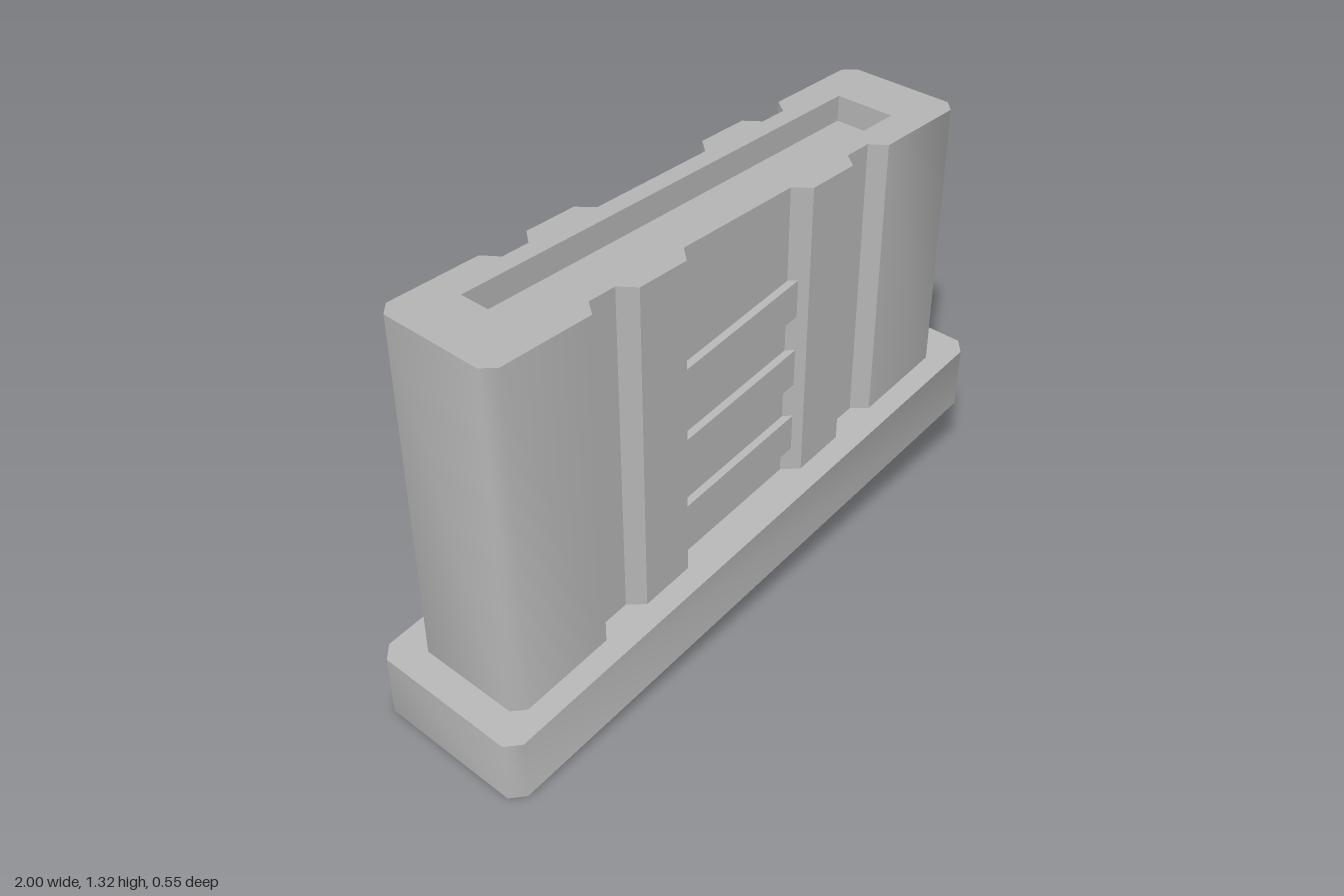
import * as THREE from 'three';
import { toCreasedNormals } from 'three/addons/utils/BufferGeometryUtils.js';

const TOP = 1.32;
// height of the slanted base underside at x
const slope = (x) => 0.135 * (x + 1);
const points = (list) => list.map(([x, y]) => new THREE.Vector2(x, y));

// extrude a plan outline upward, then set each vertex height by bottom and top rules
function prism(shape, bottom, top) {
  const geo = new THREE.ExtrudeGeometry(shape, { depth: 1, bevelEnabled: false });
  geo.rotateX(-Math.PI / 2);
  const p = geo.attributes.position;
  for (let i = 0; i < p.count; i++) {
    const x = p.getX(i);
    p.setY(i, p.getY(i) < 0.5 ? bottom(x) : top(x));
  }
  return toCreasedNormals(geo, 0.82);
}

// closed plan outline from one quarter (from +x side to centre), mirrored four ways
function mirrored(quarter) {
  const back = quarter.slice().reverse();
  return new THREE.Shape(points([
    ...quarter,
    ...back.map(([x, y]) => [-x, y]),
    ...quarter.map(([x, y]) => [-x, -y]),
    ...back.map(([x, y]) => [x, -y]),
  ]));
}

export function createModel() {
  const group = new THREE.Group();
  const grey = new THREE.MeshStandardMaterial({ color: 0xb4b4b4 });
  grey.name = 'grey';
  const add = (name, geo) => {
    const mesh = new THREE.Mesh(geo, grey);
    mesh.name = name;
    group.add(mesh);
    return mesh;
  };

  // slanted base plate with chamfered corners
  add('basePlate', prism(mirrored([[1, 0.235], [0.96, 0.273]]),
    (x) => slope(x), (x) => slope(x) + 0.2));

  // upright body with narrow grooves and a wide recess on both faces
  const outline = mirrored([
    [0.91, 0.165], [0.875, 0.2],
    [0.58, 0.2], [0.545, 0.153], [0.455, 0.153], [0.418, 0.2],
    [0.25, 0.2], [0.21, 0.153],
  ]);
  const px = 0.73, pz = 0.095;
  outline.holes.push(new THREE.Path(points([[-px, -pz], [-px, pz], [px, pz], [px, -pz]])));
  add('body', prism(outline, (x) => slope(x) + 0.1, () => TOP));

  // floor of the shallow pocket in the top
  const floor = add('pocketFloor', new THREE.BoxGeometry(px * 2 + 0.02, 0.04, pz * 2 + 0.02));
  floor.position.y = TOP - 0.08 - 0.02;

  // slanted grip ribs on both faces
  const rx = 0.228;
  for (const side of [1, -1]) {
    for (let i = 0; i < 3; i++) {
      const y = 0.38 + i * 0.233;
      const z0 = side * 0.14, z1 = side * 0.177;
      const rib = new THREE.Shape(points([[-rx, z0], [rx, z0], [rx, z1], [-rx, z1]]));
      const low = (x) => y + 0.142 * (x + rx);
      add('gripRib', prism(rib, low, (x) => low(x) + 0.12));
    }
  }
  return group;
}
